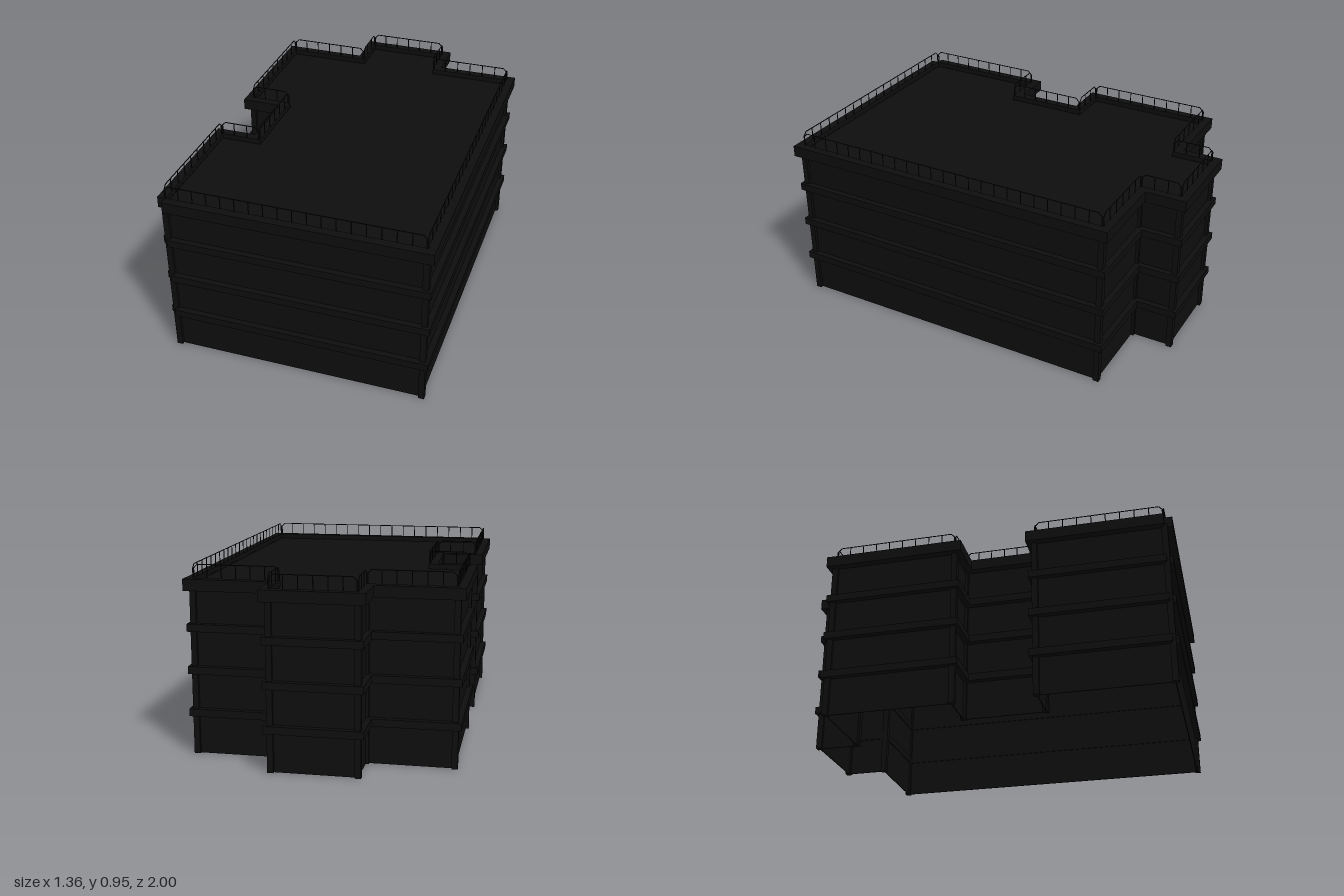
import * as THREE from 'three';

const dark = new THREE.MeshStandardMaterial({ color: 0x0e0e0e, side: THREE.DoubleSide });

// Wall line of the building, counter-clockwise, as (x, -z)
const plan = [
  [-0.64, -0.96], [0.64, -0.96], [0.64, 0.75], [0.21, 0.75],
  [0.21, 0.96], [-0.21, 0.96], [-0.21, 0.75], [-0.64, 0.75],
  [-0.64, 0.105], [-0.43, 0.105], [-0.43, -0.31], [-0.64, -0.31],
].map(([x, y]) => new THREE.Vector2(x, y));

// Plan grown by d; an open corner leaves the first corner unfilled
function outline(d, openCorner = false) {
  const n = plan.length;
  const normal = (a, b) => {
    const t = b.clone().sub(a).normalize();
    return new THREE.Vector2(t.y, -t.x);
  };
  return plan.flatMap((p, i) => {
    const n1 = normal(plan[(i + n - 1) % n], p).multiplyScalar(d);
    const n2 = normal(p, plan[(i + 1) % n]).multiplyScalar(d);
    if (openCorner && i === 0) return [p.clone().add(n1), p.clone(), p.clone().add(n2)];
    return [p.clone().add(n1).add(n2)];
  });
}

// Horizontal slab or ring between heights y0 and y1
function slab(name, outer, inner, y0, y1) {
  const shape = new THREE.Shape(outer);
  if (inner) shape.holes.push(new THREE.Path(inner));
  const geo = new THREE.ExtrudeGeometry(shape, { depth: y1 - y0, bevelEnabled: false });
  geo.rotateX(-Math.PI / 2);
  geo.translate(0, y0, 0);
  const mesh = new THREE.Mesh(geo, dark);
  mesh.name = name;
  return mesh;
}

// Thin round bar from a to b
function bar(name, a, b, r) {
  const mesh = new THREE.Mesh(new THREE.CylinderGeometry(r, r, a.distanceTo(b), 6), dark);
  mesh.position.copy(a).lerp(b, 0.5);
  mesh.quaternion.setFromUnitVectors(new THREE.Vector3(0, 1, 0), b.clone().sub(a).normalize());
  mesh.name = name;
  return mesh;
}

// Railing along one side: end posts, chamfered top rail and balusters
function railing(p, q) {
  const group = new THREE.Group();
  group.name = 'railing';
  const base = 0.875, top = 0.949, cut = 0.018;
  const length = p.distanceTo(q);
  const at = (s, y) => {
    const v = p.clone().lerp(q, s / length);
    return new THREE.Vector3(v.x, y, -v.y);
  };
  const e = 0.005;
  const path = [at(e, base), at(e, top - cut), at(e + cut, top),
    at(length - e - cut, top), at(length - e, top - cut), at(length - e, base)];
  for (let i = 0; i < path.length - 1; i++) {
    const post = i === 0 || i === 4;
    group.add(bar(post ? 'railPost' : 'topRail', path[i], path[i + 1], post ? 0.0035 : 0.0025));
  }
  const count = Math.round(length / 0.071);
  for (let i = 1; i < count; i++) {
    const s = (length * i) / count;
    group.add(bar('baluster', at(s, base), at(s, top), 0.0025));
  }
  return group;
}

export function createModel() {
  const model = new THREE.Group();
  model.name = 'building';

  // Hollow shell, open at the bottom, with a sunken roof
  model.add(slab('walls', outline(0), outline(-0.005), 0, 0.86));
  model.add(slab('roof', outline(-0.002), null, 0.848, 0.855));

  // Floor bands and cornice
  for (const y of [0.195, 0.41, 0.622]) {
    model.add(slab('floorBand', outline(0.03, true), outline(-0.01), y, y + 0.038));
  }
  model.add(slab('cornice', outline(0.04, true), outline(-0.004), 0.825, 0.882));

  // Corner pillars
  for (const p of plan) {
    const pillar = new THREE.Mesh(new THREE.BoxGeometry(0.03, 0.84, 0.03), dark);
    pillar.position.set(p.x, 0.42, -p.y);
    pillar.name = 'cornerPillar';
    model.add(pillar);
  }

  // Roof railings on every side
  plan.forEach((p, i) => model.add(railing(p, plan[(i + 1) % plan.length])));

  return model;
}
